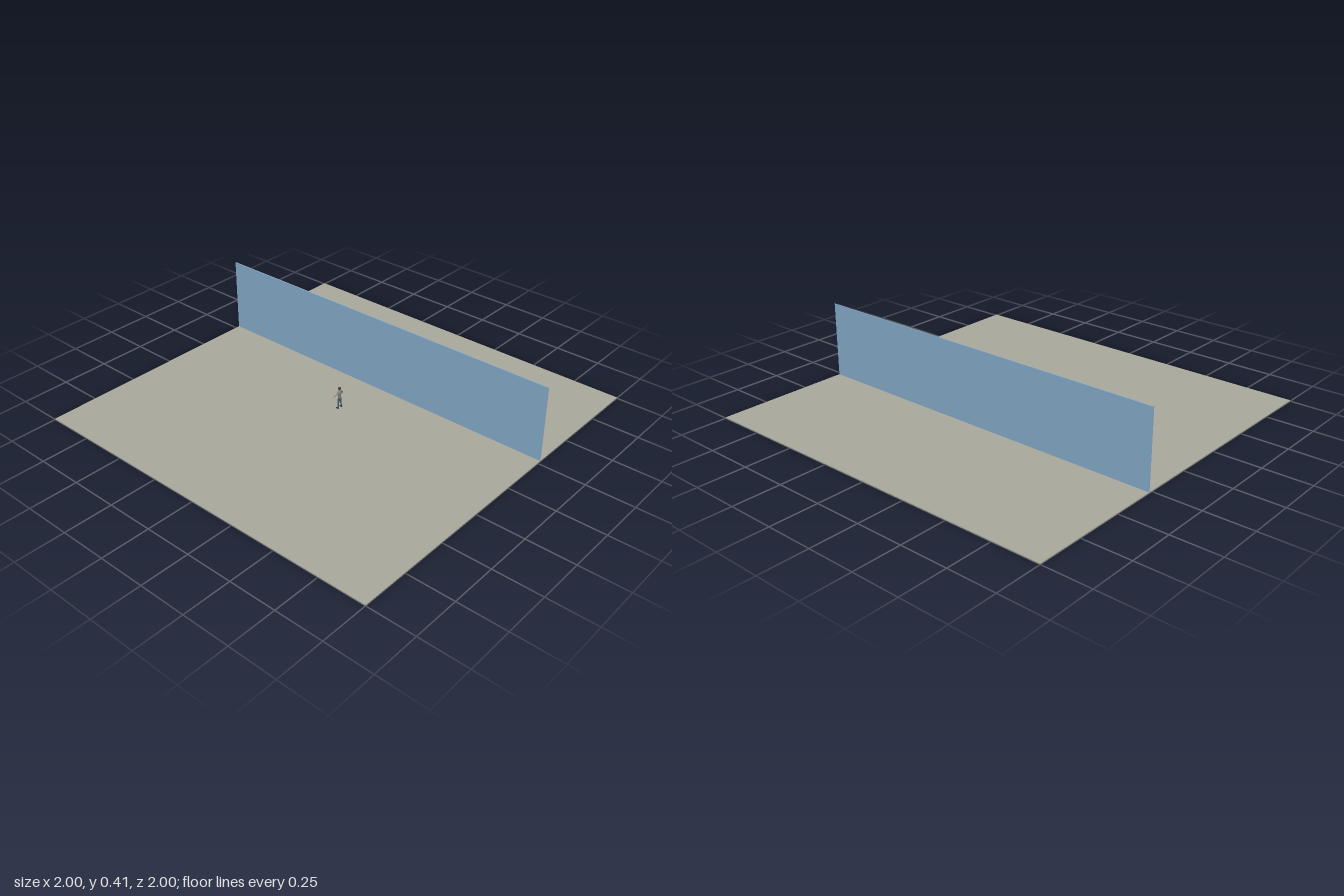
import * as THREE from 'three';

const mat = (name, color) => {
  const m = new THREE.MeshStandardMaterial({ color });
  m.name = name;
  return m;
};

export function createModel() {
  const model = new THREE.Group();
  const stone = mat('warm grey floor', 0xaaa99e);
  const blue = mat('blue wall', 0x86adcb);
  const skin = mat('skin', 0xb08a6c);
  const shirt = mat('grey shirt', 0x84857f);
  const trousers = mat('blue trousers', 0x4a6070);
  const dark = mat('dark hair and shoes', 0x3a3632);

  const add = (parent, name, geometry, material, x, y, z) => {
    const mesh = new THREE.Mesh(geometry, material);
    mesh.name = name;
    mesh.position.set(x, y, z);
    parent.add(mesh);
    return mesh;
  };

  // Thin floor slab and the wall standing across it
  add(model, 'floor', new THREE.BoxGeometry(2, 0.005, 2), stone, 0, 0.0025, 0);
  add(model, 'wall', new THREE.BoxGeometry(2, 0.4, 0.005), blue, 0, 0.205, -0.27);

  // Small standing figure, facing -x with its arms held out
  const figure = new THREE.Group();
  figure.name = 'figure';
  figure.position.set(-0.005, 0.005, 0);
  model.add(figure);

  // Tapered limb between two points
  const limb = (name, material, a, b, ra, rb) => {
    const from = new THREE.Vector3(...a), to = new THREE.Vector3(...b);
    const dir = to.clone().sub(from);
    const mid = from.clone().add(to).multiplyScalar(0.5);
    const mesh = add(figure, name, new THREE.CylinderGeometry(rb, ra, dir.length(), 10),
      material, mid.x, mid.y, mid.z);
    mesh.quaternion.setFromUnitVectors(new THREE.Vector3(0, 1, 0), dir.normalize());
  };
  const ball = (name, material, r, x, y, z, sx = 1, sy = 1, sz = 1) =>
    add(figure, name, new THREE.SphereGeometry(r, 12, 8), material, x, y, z).scale.set(sx, sy, sz);

  // Torso from hips to shoulders, flattened front to back
  const profile = [[0, 0.052], [0.009, 0.053], [0.0095, 0.06], [0.009, 0.072],
    [0.0125, 0.09], [0.012, 0.097], [0.005, 0.101], [0, 0.102]];
  add(figure, 'torso', new THREE.LatheGeometry(profile.map(p => new THREE.Vector2(...p)), 14),
    shirt, 0, 0, 0).scale.x = 0.6;

  // Head
  limb('neck', skin, [0, 0.098, 0], [-0.001, 0.107, 0], 0.0035, 0.0032);
  ball('head', skin, 0.008, -0.002, 0.111, 0, 0.95, 1.15, 0.8);
  ball('hair', dark, 0.008, -0.0005, 0.113, 0, 0.95, 0.98, 0.85);

  // Arms and legs on both sides
  for (const s of [-1, 1]) {
    ball('shoulder', shirt, 0.0045, 0, 0.0945, s * 0.0125);
    limb('sleeve', shirt, [0, 0.095, s * 0.012], [0.001, 0.084, s * 0.022], 0.0042, 0.0034);
    limb('forearm', skin, [0.001, 0.085, s * 0.0212], [-0.008, 0.074, s * 0.0295], 0.0032, 0.0022);
    ball('hand', skin, 0.0035, -0.01, 0.0715, s * 0.031, 1, 1.2, 0.7);
    limb('thigh', trousers, [0, 0.059, s * 0.005], [-0.001, 0.031, s * 0.0095], 0.0058, 0.0042);
    limb('shin', trousers, [-0.001, 0.032, s * 0.0095], [0.001, 0.004, s * 0.0122], 0.0042, 0.003);
    add(figure, 'shoe', new THREE.BoxGeometry(0.014, 0.005, 0.006), dark, -0.003, 0.0025, s * 0.0125);
  }
  return model;
}
